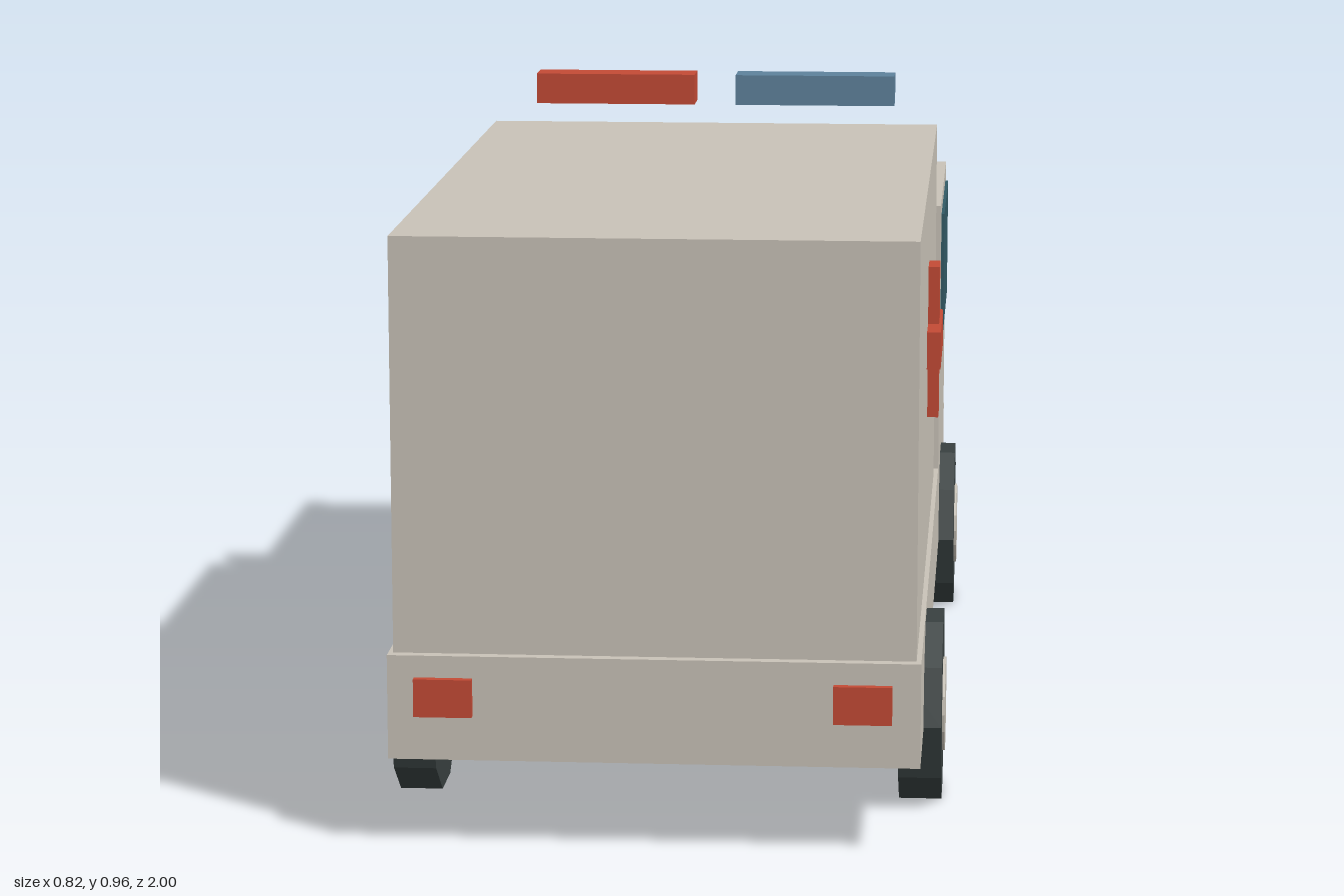
import * as THREE from 'three';

const mat = (name, color) => {
  const m = new THREE.MeshStandardMaterial({ color });
  m.name = name;
  return m;
};

export function createModel() {
  const body = mat('bodyCream', 0xc8c2b7);
  const red = mat('red', 0xc34a35);
  const blue = mat('blue', 0x5e829c);
  const glass = mat('darkTealGlass', 0x325a65);
  const rubber = mat('tyreRubber', 0x384040);

  const model = new THREE.Group();
  model.name = 'ambulance';

  // Box given by its limits along each axis
  const box = (name, material, [x0, x1], [y0, y1], [z0, z1]) => {
    const mesh = new THREE.Mesh(new THREE.BoxGeometry(x1 - x0, y1 - y0, z1 - z0), material);
    mesh.position.set((x0 + x1) / 2, (y0 + y1) / 2, (z0 + z1) / 2);
    mesh.name = name;
    model.add(mesh);
  };
  // Same box on both sides of the vehicle
  const pair = (name, material, [x0, x1], y, z) => {
    box(name + 'Left', material, [x0, x1], y, z);
    box(name + 'Right', material, [-x1, -x0], y, z);
  };

  // Main volumes; the cab is at the -z end
  box('chassis', body, [-0.379, 0.379], [0.132, 0.284], [-0.968, 0.977]);
  box('rearCompartment', body, [-0.372, 0.372], [0.284, 0.883], [-0.324, 0.961]);
  box('cab', body, [-0.379, 0.379], [0.284, 0.738], [-0.936, -0.373]);

  // Windows
  box('windscreen', glass, [-0.32, 0.32], [0.511, 0.713], [-0.951, -0.936]);
  pair('sideWindow', glass, [0.375, 0.384], [0.511, 0.713], [-0.862, -0.45]);

  // Side crosses
  pair('crossUpright', red, [0.37, 0.389], [0.512, 0.747], [0.27, 0.332]);
  pair('crossBar', red, [0.37, 0.393], [0.601, 0.658], [0.196, 0.407]);

  // Roof beacons
  box('redBeacon', red, [-0.301, -0.035], [0.915, 0.965], [-0.373, -0.312]);
  box('blueBeacon', blue, [0.034, 0.3], [0.915, 0.965], [-0.373, -0.312]);

  // Lights, grille and bumper
  pair('tailLight', red, [0.256, 0.339], [0.2, 0.255], [0.988, 1]);
  pair('headlight', body, [0.2, 0.347], [0.213, 0.261], [-0.986, -0.974]);
  box('grille', glass, [-0.163, 0.163], [0.185, 0.238], [-0.977, -0.966]);
  box('bumper', body, [-0.348, 0.348], [0.141, 0.169], [-1, -0.966]);

  // Wheels
  const tyreGeo = new THREE.CylinderGeometry(0.142, 0.142, 0.063, 10).toNonIndexed();
  const hubGeo = new THREE.CylinderGeometry(0.07, 0.07, 0.063, 16).toNonIndexed();
  for (const geo of [tyreGeo, hubGeo]) {
    geo.rotateZ(Math.PI / 2);
    geo.computeVertexNormals();
  }
  for (const side of [1, -1]) {
    for (const [end, z] of [['front', -0.615], ['rear', 0.629]]) {
      const wheel = new THREE.Group();
      wheel.name = end + 'Wheel' + (side > 0 ? 'Left' : 'Right');
      const tyre = new THREE.Mesh(tyreGeo, rubber);
      tyre.name = 'tyre';
      const hub = new THREE.Mesh(hubGeo, body);
      hub.name = 'hub';
      hub.position.x = side * 0.004;
      wheel.add(tyre, hub);
      wheel.position.set(side * 0.3735, 0.136, z);
      model.add(wheel);
    }
  }
  return model;
}
